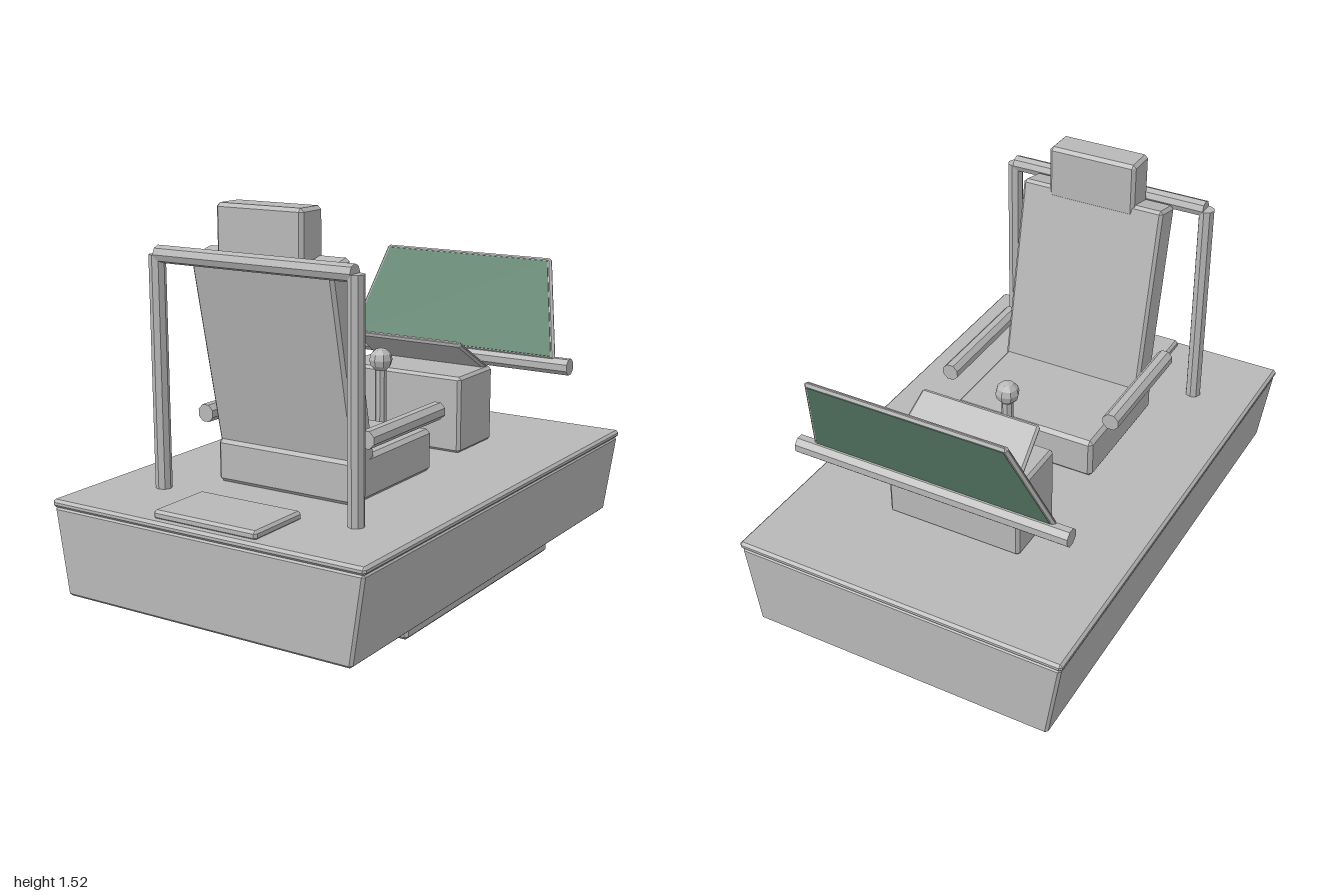
import * as THREE from 'three';
import { ConvexGeometry } from 'three/addons/geometries/ConvexGeometry.js';

// Chamfered block, optionally with a different width at the top
function block(bottomW, h, d, c, topW = bottomW) {
  const pts = [];
  for (const sx of [-1, 1]) for (const sy of [-1, 1]) for (const sz of [-1, 1]) {
    for (const [ix, iy, iz] of [[0, c, c], [c, 0, c], [c, c, 0]]) {
      const y = sy * (h / 2 - iy);
      const half = THREE.MathUtils.lerp(bottomW, topW, y / h + 0.5) / 2;
      pts.push(new THREE.Vector3(sx * (half - ix), y, sz * (d / 2 - iz)));
    }
  }
  return new ConvexGeometry(pts);
}

// Faceted rod along the given axis; turn rotates the facets
function rod(r, length, axis, sides = 8, turn = Math.PI / 8) {
  const g = new THREE.CylinderGeometry(r, r, length, sides).rotateY(turn);
  if (axis === 'x') g.rotateZ(Math.PI / 2);
  if (axis === 'z') g.rotateX(Math.PI / 2);
  return g;
}

export function createModel() {
  const model = new THREE.Group();
  const grey = new THREE.MeshStandardMaterial({ color: 0xb8b8b8, flatShading: true });
  grey.name = 'grey body';
  const green = new THREE.MeshStandardMaterial({ color: 0x5b826c, flatShading: true });
  green.name = 'green glass';

  const add = (name, geometry, x, y, z, tilt = 0, material = grey) => {
    const mesh = new THREE.Mesh(geometry, material);
    mesh.name = name;
    mesh.position.set(x, y, z);
    mesh.rotation.x = tilt;
    model.add(mesh);
    return mesh;
  };

  // Hull, deck and underside
  add('hull', block(1.22, 0.33, 1.99, 0.01, 1.32), 0, 0.275, 0);
  add('deck', block(1.33, 0.03, 2, 0.01), 0, 0.452, 0);
  add('basePlate', block(1.11, 0.07, 1.11, 0.012), 0, 0.075, 0);
  add('lowerPlate', block(0.94, 0.03, 0.94, 0.008), 0, 0.045, 0);
  for (const sx of [-1, 1]) for (const sz of [-1, 1]) {
    add('foot', rod(0.045, 0.06, 'y', 6, Math.PI / 6), sx * 0.335, 0.03, sz * 0.335);
  }

  // Seat
  add('seatCushion', block(0.6, 0.165, 0.55, 0.015), 0, 0.55, 0.225);
  add('backrest', block(0.6, 0.76, 0.125, 0.012), 0, 0.973, 0.496, 0.21);
  add('headrest', block(0.365, 0.215, 0.13, 0.013), 0, 1.417, 0.57);

  // Armrests and roll bar
  for (const s of [-1, 1]) {
    add('armrest', rod(0.035, 0.5, 'z'), s * 0.352, 0.721, 0.25);
    add('rollBarPost', rod(0.031, 0.87, 'y', 8, 0), s * 0.42, 0.895, 0.668);
  }
  add('rollBar', rod(0.032, 0.83, 'x', 8, 0), 0, 1.332, 0.668);

  // Hatch, control lever and console
  add('rearHatch', block(0.44, 0.035, 0.27, 0.01), 0, 0.479, 0.835);
  add('leverShaft', rod(0.023, 0.36, 'y'), 0, 0.64, -0.165);
  add('leverKnob', new THREE.SphereGeometry(0.047, 8, 6), 0, 0.845, -0.165);
  add('console', block(0.55, 0.31, 0.272, 0.012), 0, 0.62, -0.447);
  add('consolePanel', block(0.53, 0.265, 0.022, 0.009, 0.49), 0, 0.828, -0.472, 1);

  // Windscreen with a glass face on each side, and its crossbar
  const screen = add('windscreenFrame', block(0.99, 0.42, 0.022, 0.009, 0.785), 0, 0.993, -0.788, -0.38);
  for (const s of [-1, 1]) {
    const glass = new THREE.Mesh(block(0.955, 0.395, 0.003, 0.001, 0.762), green);
    glass.name = 'windscreenGlass';
    glass.position.z = s * 0.0105;
    screen.add(glass);
  }
  add('windscreenCrossbar', rod(0.035, 1.11, 'x'), 0, 0.776, -0.722);

  return model;
}
